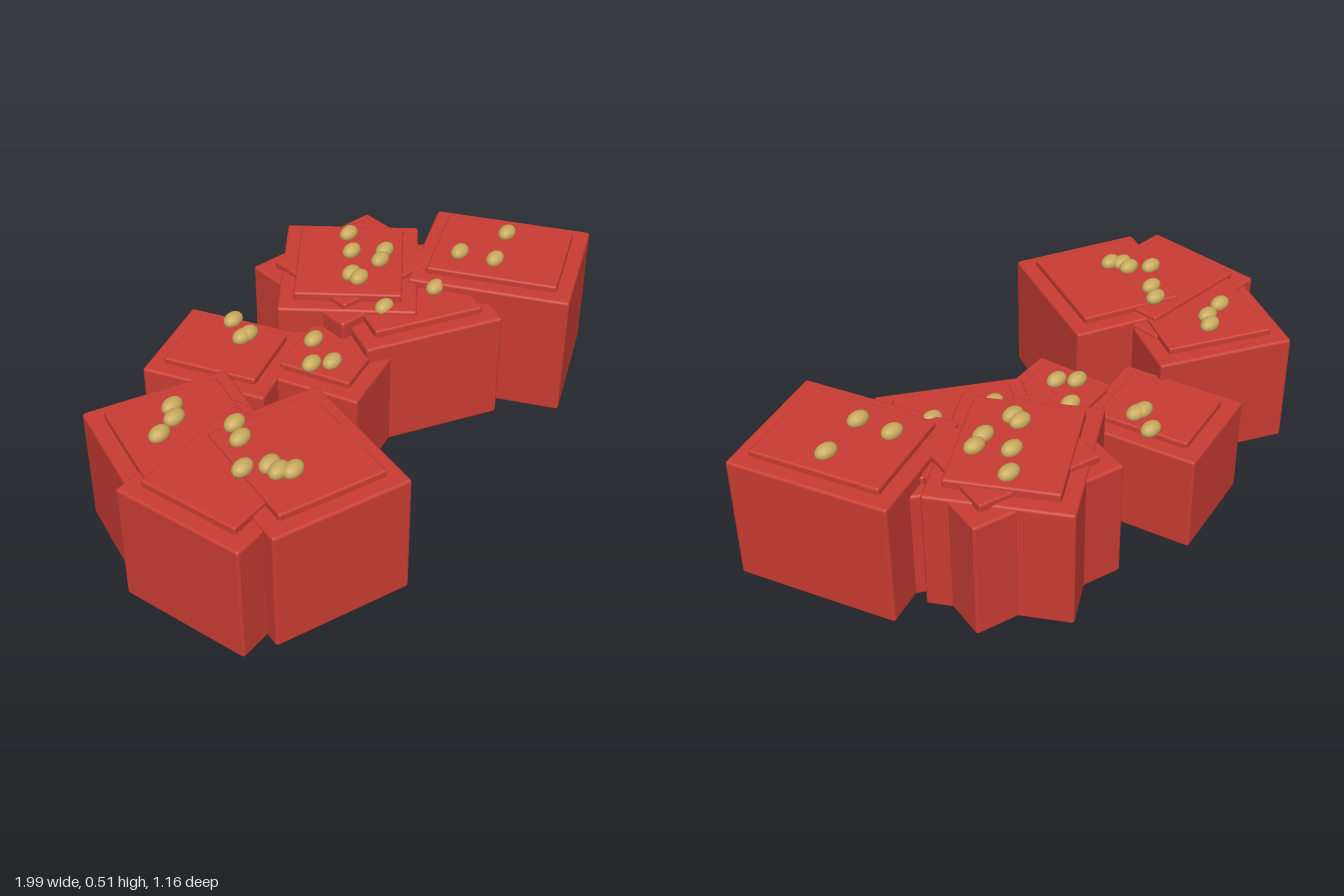
import * as THREE from 'three';
import { RoundedBoxGeometry } from 'three/addons/geometries/RoundedBoxGeometry.js';

const red = new THREE.MeshStandardMaterial({ color: 0xc83c32 });
red.name = 'brick red';
const gold = new THREE.MeshStandardMaterial({ color: 0xc8a95c });
gold.name = 'pale gold';

// Blocks: centre x, z, width, depth, turn in degrees, body top, panel top, bead positions [x, z]
const blocks = [
  { x: -0.677, z: -0.126, w: 0.484, d: 0.46, turn: 26.6, body: 0.412, top: 0.435,
    beads: [[-0.755, -0.15], [-0.67, -0.165], [-0.63, -0.208]] },
  { x: -0.735, z: 0.121, w: 0.53, d: 0.457, turn: 0, body: 0.424, top: 0.448, beads: [] },
  { x: -0.591, z: 0.24, w: 0.469, d: 0.533, turn: 22, body: 0.434, top: 0.457,
    beads: [[-0.604, 0.018], [-0.647, 0.075], [-0.749, 0.166], [-0.69, 0.219], [-0.695, 0.257], [-0.668, 0.289]] },
  { x: -0.222, z: -0.334, w: 0.375, d: 0.432, turn: -14.5, body: 0.353, top: 0.375,
    beads: [[-0.102, -0.401], [-0.16, -0.316], [-0.134, -0.31]] },
  { x: -0.006, z: -0.043, w: 0.43, d: 0.36, turn: -10, body: 0.347, top: 0.37,
    beads: [[-0.027, -0.118], [-0.139, -0.043], [-0.091, 0.005]] },
  { x: 0.351, z: -0.01, w: 0.495, d: 0.53, turn: 32.6, body: 0.402, top: 0.427,
    beads: [[0.396, 0.086], [0.198, 0.011]] },
  { x: 0.35, z: -0.215, w: 0.537, d: 0.47, turn: 12.6, body: 0.433, top: 0.459, beads: [] },
  { x: 0.326, z: -0.222, w: 0.537, d: 0.471, turn: -33.2, body: 0.441, top: 0.47,
    beads: [[0.449, -0.316], [0.362, -0.241], [0.246, -0.16], [0.241, -0.123], [0.374, -0.128], [0.433, -0.15]] },
  { x: 0.677, z: 0.177, w: 0.472, d: 0.558, turn: -20, body: 0.455, top: 0.478,
    beads: [[0.567, 0.075], [0.77, 0.144], [0.599, 0.198]] },
];

const INSET = 0.053; // margin between body edge and raised panel

function addSlab(parent, name, w, h, d, bottom, radius) {
  const mesh = new THREE.Mesh(new RoundedBoxGeometry(w, h, d, 2, radius), red);
  mesh.name = name;
  mesh.position.y = bottom + h / 2;
  parent.add(mesh);
}

export function createModel() {
  const model = new THREE.Group();
  model.name = 'blockCluster';
  const beadGeometry = new THREE.SphereGeometry(1, 14, 10);
  beadGeometry.scale(0.04, 0.026, 0.028);

  blocks.forEach((b, i) => {
    // Softly bevelled body with a raised top panel
    const block = new THREE.Group();
    block.name = `block${i + 1}`;
    block.position.set(b.x, 0, b.z);
    block.rotation.y = -THREE.MathUtils.degToRad(b.turn);
    addSlab(block, 'body', b.w, b.body, b.d, 0, 0.01);
    addSlab(block, 'topPanel', b.w - 2 * INSET, 0.06, b.d - 2 * INSET, b.top - 0.06, 0.008);
    model.add(block);

    // Oval beads lying on the panel
    for (const [x, z] of b.beads) {
      const bead = new THREE.Mesh(beadGeometry, gold);
      bead.name = 'bead';
      bead.position.set(x, b.top + 0.01, z);
      model.add(bead);
    }
  });
  return model;
}
